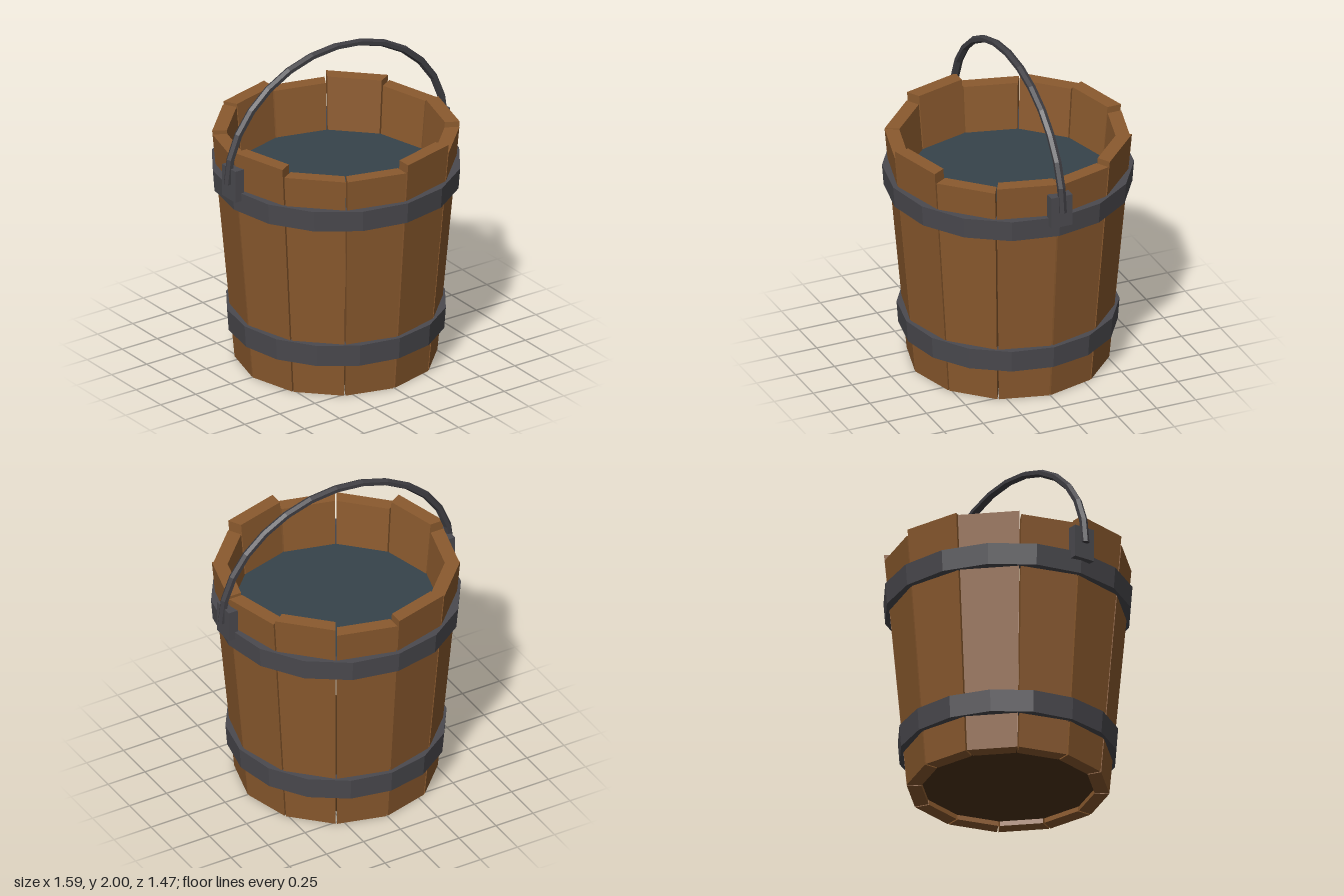
import * as THREE from 'three';

const mat = (color, side = THREE.FrontSide) =>
  new THREE.MeshStandardMaterial({ color, flatShading: true, side });
const wood = mat(0x8b5a2e);
const darkWood = mat(0x4e3319);
const iron = mat(0x4b4a4f);
const handleIron = mat(0x403f44);
const water = mat(0x36434b);

// The bucket flares outward with height
const outerRadius = (y) => 0.596 + 0.09 * y;
const THICKNESS = 0.087;
const STAVE_TOPS = [1.49, 1.43, 1.46, 1.45, 1.48, 1.44, 1.475, 1.46, 1.44, 1.49, 1.44, 1.44];

function add(parent, name, geometry, material) {
  const mesh = new THREE.Mesh(geometry, material);
  mesh.name = name;
  parent.add(mesh);
  return mesh;
}

// Wedge-sided plank leaning outward, with a narrow gap to its neighbours
function staveGeometry(top) {
  const geometry = new THREE.BoxGeometry(1, 1, 1);
  const p = geometry.attributes.position;
  const half = Math.PI / STAVE_TOPS.length;
  for (let i = 0; i < p.count; i++) {
    const y = p.getY(i) > 0 ? top : 0;
    const r = outerRadius(y) - (p.getZ(i) > 0 ? 0 : THICKNESS);
    p.setXYZ(i, Math.sign(p.getX(i)) * (r * Math.sin(half) - 0.005), y, r * Math.cos(half));
  }
  geometry.computeVertexNormals();
  return geometry;
}

// Closed sixteen-sided ring with slightly sloping faces
function hoopGeometry(y0, y1, r0, r1) {
  const profile = [[r0 - 0.06, y0], [r0, y0], [r1, y1], [r1 - 0.06, y1], [r0 - 0.06, y0]];
  return new THREE.LatheGeometry(profile.map(([x, y]) => new THREE.Vector2(x, y)), 16);
}

export function createModel() {
  const bucket = new THREE.Group();
  bucket.name = 'bucket';

  // Staves, each cut to its own height
  const staves = new THREE.Group();
  staves.name = 'staves';
  bucket.add(staves);
  STAVE_TOPS.forEach((top, i) => {
    add(staves, 'stave', staveGeometry(top), wood).rotation.y = ((i + 0.5) / STAVE_TOPS.length) * Math.PI * 2;
  });

  // Recessed floor
  add(bucket, 'floor', new THREE.CylinderGeometry(0.52, 0.51, 0.1, 12), darkWood).position.y = 0.08;

  // Water surface
  const surface = add(bucket, 'water', new THREE.CircleGeometry(0.615, 12), water);
  surface.rotation.x = -Math.PI / 2;
  surface.position.y = 1.15;

  // Iron hoops
  add(bucket, 'lowerHoop', hoopGeometry(0.21, 0.345, 0.642, 0.652), iron);
  add(bucket, 'upperHoop', hoopGeometry(1.12, 1.25, 0.727, 0.737), iron);

  // Handle: half an ellipse of hexagonal rod with capped ends
  const handle = new THREE.Group();
  handle.name = 'handle';
  handle.position.y = 1.3;
  bucket.add(handle);
  const bow = add(handle, 'handleBow', new THREE.TorusGeometry(0.772, 0.025, 6, 14, Math.PI), handleIron);
  bow.scale.y = 0.878;

  for (const side of [-1, 1]) {
    const cap = add(handle, 'handleEnd', new THREE.CircleGeometry(0.025, 6), handleIron);
    cap.rotation.x = Math.PI / 2;
    cap.position.x = side * 0.772;

    // Bracket plates holding the handle
    const bracket = add(bucket, 'handleBracket', new THREE.BoxGeometry(0.062, 0.2, 0.135), iron);
    bracket.position.set(side * 0.734, 1.3, 0);
  }

  return bucket;
}
